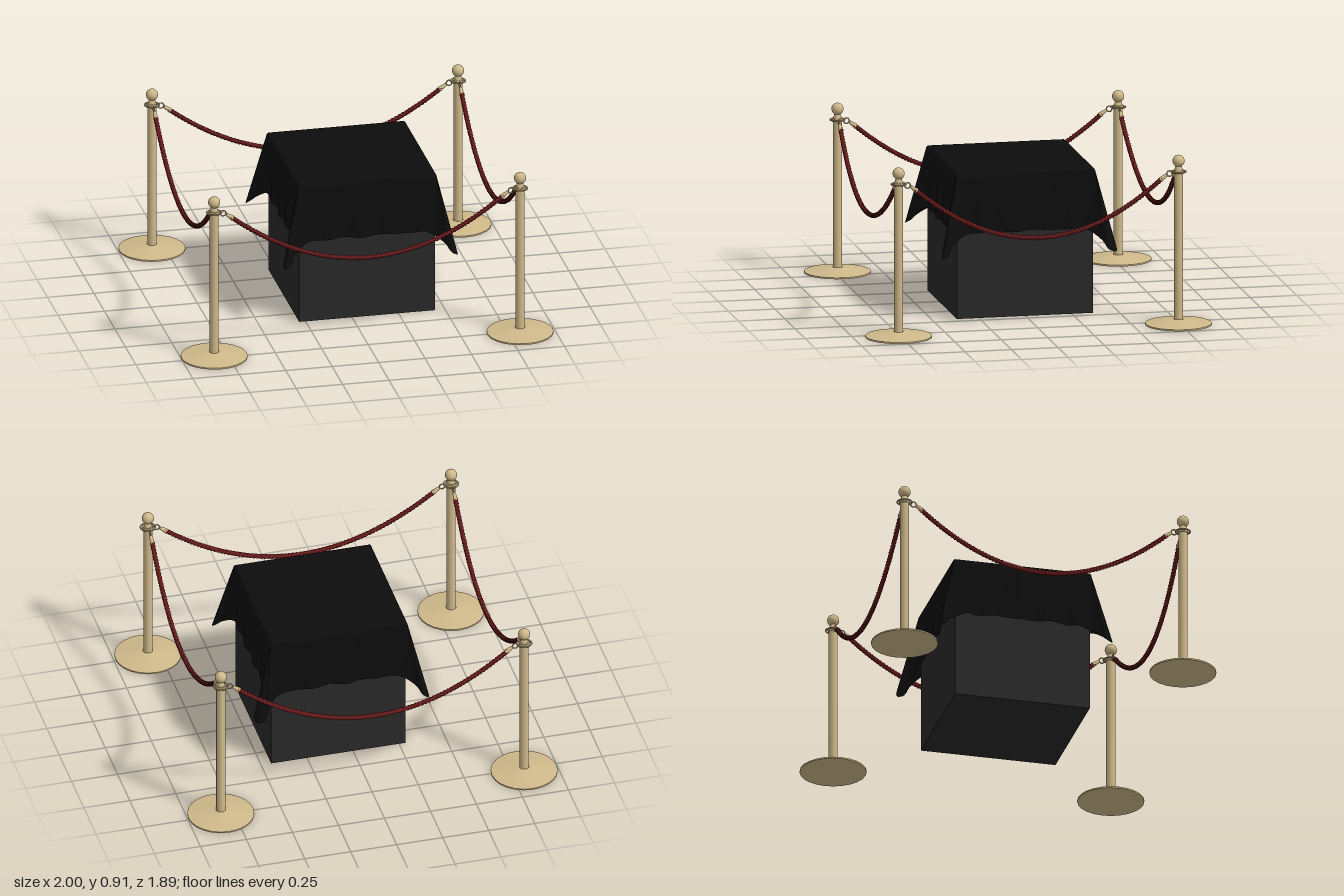
import * as THREE from 'three';

const brass = new THREE.MeshStandardMaterial({ color: 0xcfb98a });
const darkBox = new THREE.MeshStandardMaterial({ color: 0x292929 });
const cloth = new THREE.MeshStandardMaterial({ color: 0x0d0d0d, side: THREE.DoubleSide });
const ropeRed = new THREE.MeshStandardMaterial({ color: 0x651a1a });

function add(parent, name, geometry, material, x = 0, y = 0, z = 0) {
  const mesh = new THREE.Mesh(geometry, material);
  mesh.name = name;
  mesh.position.set(x, y, z);
  parent.add(mesh);
  return mesh;
}

// Stanchion: shallow cone base, pole, collar with ring, ball finial
function makePost(x, z) {
  const post = new THREE.Group();
  post.name = 'post';
  post.position.set(x, 0, z);
  add(post, 'baseRim', new THREE.CylinderGeometry(0.176, 0.176, 0.008, 24), brass, 0, 0.004);
  add(post, 'baseCone', new THREE.CylinderGeometry(0.026, 0.176, 0.022, 24, 1, true), brass, 0, 0.019);
  add(post, 'pole', new THREE.CylinderGeometry(0.024, 0.024, 0.81, 20), brass, 0, 0.425);
  add(post, 'collar', new THREE.CylinderGeometry(0.028, 0.028, 0.018, 20), brass, 0, 0.82);
  const ring = add(post, 'collarRing', new THREE.TorusGeometry(0.039, 0.004, 8, 28), brass, 0, 0.82);
  ring.rotation.x = Math.PI / 2;
  for (let i = 0; i < 4; i++) {
    const a = i * Math.PI / 2;
    const spoke = add(post, 'ringSpoke', new THREE.BoxGeometry(0.02, 0.005, 0.006), brass,
      Math.cos(a) * 0.031, 0.82, Math.sin(a) * 0.031);
    spoke.rotation.y = -a;
  }
  add(post, 'neck', new THREE.CylinderGeometry(0.015, 0.022, 0.03, 16), brass, 0, 0.843);
  add(post, 'ball', new THREE.SphereGeometry(0.032, 20, 14), brass, 0, 0.878);
  return post;
}

// Hanging curve between two rope ends, with a slight sideways bow
class SagCurve extends THREE.Curve {
  constructor(a, b, sag, bow) {
    super();
    Object.assign(this, { a, b, sag, bow });
  }
  getPoint(t, target = new THREE.Vector3()) {
    const k = 4 * t * (1 - t);
    target.lerpVectors(this.a, this.b, t).addScaledVector(this.bow, k);
    target.y -= this.sag * k;
    return target;
  }
}

// Twisted three-strand rope: a tube whose radius follows a helix
function ropeGeometry(curve) {
  const segs = 300, sides = 12, turns = 26;
  const geo = new THREE.TubeGeometry(curve, segs, 0.0115, sides);
  const pos = geo.attributes.position, nor = geo.attributes.normal;
  for (let i = 0; i <= segs; i++) {
    for (let j = 0; j <= sides; j++) {
      const n = i * (sides + 1) + j;
      const d = 0.0022 * Math.cos(3 * (j / sides + turns * i / segs) * Math.PI * 2);
      pos.setXYZ(n, pos.getX(n) + nor.getX(n) * d, pos.getY(n) + nor.getY(n) * d, pos.getZ(n) + nor.getZ(n) * d);
    }
  }
  geo.computeVertexNormals();
  return geo;
}

// Rope with a hook ring and ferrule at each end
function makeRope(p, q, bow) {
  const group = new THREE.Group();
  group.name = 'rope';
  const dir = new THREE.Vector3(q[0] - p[0], 0, q[1] - p[1]).normalize();
  const ends = [[p, 1], [q, -1]].map(([c, s]) => {
    const out = dir.clone().multiplyScalar(s);
    const at = (d, y) => new THREE.Vector3(c[0] + out.x * d, y, c[1] + out.z * d);
    const ringPos = at(0.048, 0.812);
    const hook = add(group, 'hookRing', new THREE.TorusGeometry(0.015, 0.0035, 8, 18), brass, ...ringPos.toArray());
    hook.rotation.y = Math.atan2(-out.z, out.x);
    const start = at(0.064, 0.806), end = at(0.098, 0.781);
    const mid = start.clone().add(end).multiplyScalar(0.5);
    const ferrule = add(group, 'ferrule', new THREE.CylinderGeometry(0.0135, 0.008, start.distanceTo(end), 14), brass, ...mid.toArray());
    ferrule.quaternion.setFromUnitVectors(new THREE.Vector3(0, 1, 0), end.clone().sub(start).normalize());
    return at(0.088, 0.788);
  });
  add(group, 'twistedRope', ropeGeometry(new SagCurve(ends[0], ends[1], 0.288, bow)), ropeRed);
  return group;
}

// Draped cloth: square top, rippled sides, a folded fin hanging off each corner
function clothGeometry() {
  const half = 0.372, top = 0.78, controls = [];
  for (let k = 0; k < 4; k++) {
    const c = Math.cos(k * Math.PI / 2), s = Math.sin(k * Math.PI / 2);
    const put = (out, along, y) => controls.push(new THREE.Vector3(c * out - s * along, y, s * out + c * along));
    // rippled side hem
    for (let i = 0; i <= 12; i++) {
      const along = -0.3 + i * 0.05;
      put(0.387 + 0.008 * Math.sin(i * 1.9 + k * 1.3), along, 0.462 + 0.004 * Math.cos(i * 1.3 + k));
    }
    // corner fin in (diagonal, sideways, height) steps
    const wide = k === 3 ? 1.7 : 1;
    const fin = [[-0.01, -0.034, 0.445], [0.06, -0.014 * wide, 0.4], [0.105, -0.021 * wide, 0.362],
      [0.128, 0, 0.347], [0.105, 0.021 * wide, 0.362], [0.06, 0.014 * wide, 0.4], [-0.01, 0.034, 0.445]];
    for (const [d, w, y] of fin) {
      const r = Math.SQRT1_2;
      put(0.375 + (d - w) * r, 0.375 + (d + w) * r, y);
    }
  }
  const n = 320;
  const hem = new THREE.CatmullRomCurve3(controls, true, 'centripetal');
  const clamp = (v) => THREE.MathUtils.clamp(v, -half, half);
  const rows = 14, verts = [], index = [];
  const hemPoints = Array.from({ length: n }, (_, i) => hem.getPoint(i / n));
  const ring = (fn) => hemPoints.forEach((h) => verts.push(...fn(h, clamp(h.x), clamp(h.z))));
  for (const [scale, y] of [[0, top], [0.96, top], [0.985, top - 0.002]]) {
    ring((h, x, z) => [x * scale, y, z * scale]);
  }
  for (let j = 0; j <= rows; j++) {
    const v = j / rows;
    ring((h, x, z) => [x + (h.x - x) * v, top - 0.01 + (h.y - top + 0.01) * v, z + (h.z - z) * v]);
  }
  for (let j = 0; j < rows + 3; j++) {
    for (let i = 0; i < n; i++) {
      const a = j * n + i, b = j * n + (i + 1) % n;
      if (j > 0) index.push(a, b, a + n);
      index.push(b, b + n, a + n);
    }
  }
  const geo = new THREE.BufferGeometry();
  geo.setAttribute('position', new THREE.Float32BufferAttribute(verts, 3));
  geo.setIndex(index);
  geo.computeVertexNormals();
  // the collapsed centre ring faces straight up
  for (let i = 0; i < n; i++) geo.attributes.normal.setXYZ(i, 0, 1, 0);
  return geo;
}

export function createModel() {
  const model = new THREE.Group();
  model.name = 'ropedDisplay';

  // Covered plinth, set slightly off centre
  add(model, 'plinth', new THREE.BoxGeometry(0.73, 0.77, 0.73), darkBox, 0.08, 0.385, 0.003);
  add(model, 'drapedCloth', clothGeometry(), cloth, 0.08, 0, 0);

  // Posts in order around the square, joined by ropes
  const posts = [[-0.82, -0.773], [0.82, -0.741], [0.815, 0.762], [-0.825, 0.734]];
  const bows = [[0, -0.012], [0.004, 0], [0, 0.01], [0.006, 0]];
  posts.forEach((p, i) => {
    model.add(makePost(...p));
    model.add(makeRope(p, posts[(i + 1) % 4], new THREE.Vector3(bows[i][0], 0, bows[i][1])));
  });
  return model;
}
